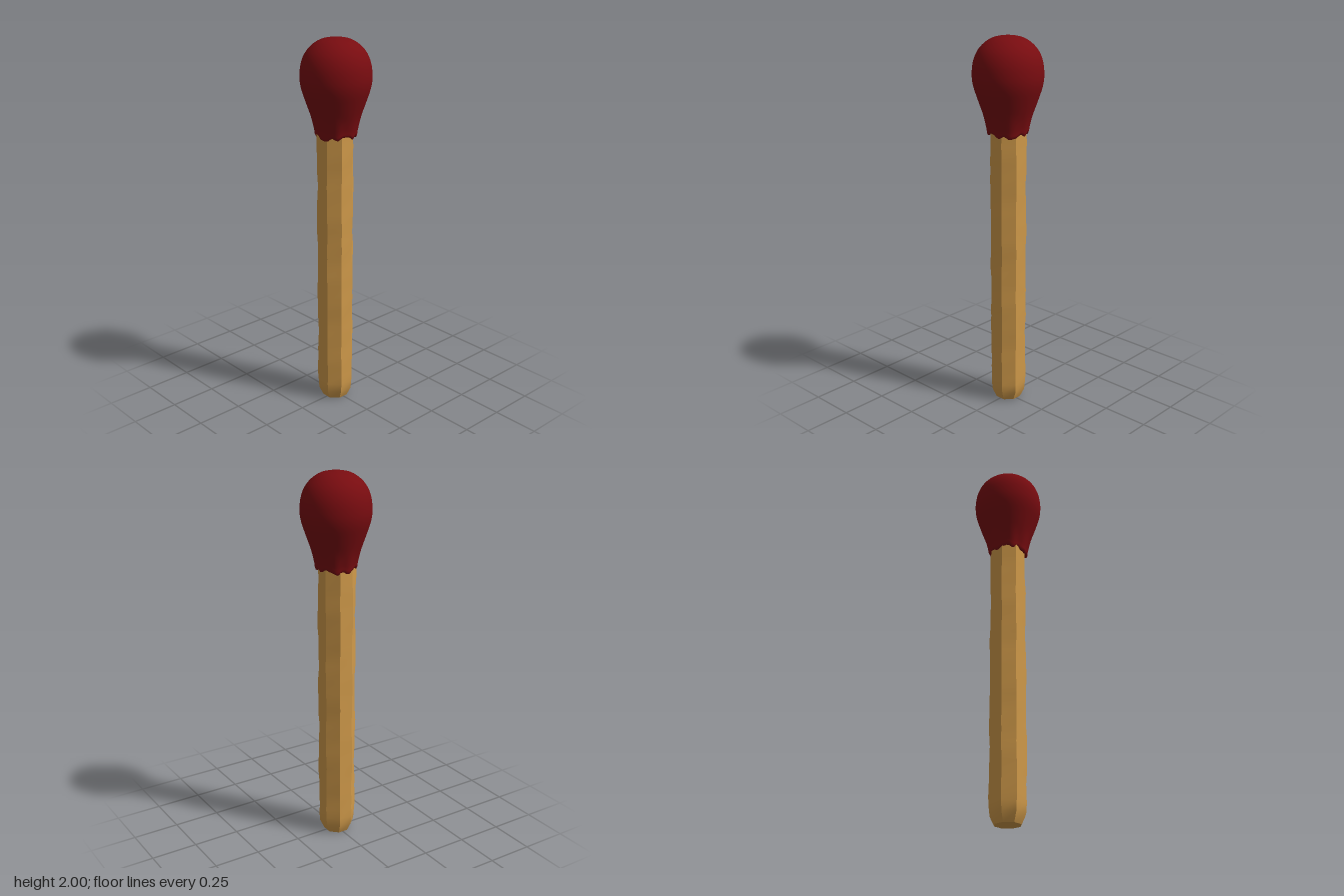
import * as THREE from 'three';
import { toCreasedNormals } from 'three/addons/utils/BufferGeometryUtils.js';

// Move every vertex of a geometry by a rule.
function deform(geometry, rule) {
  const p = geometry.attributes.position;
  const v = new THREE.Vector3();
  for (let i = 0; i < p.count; i++) {
    v.fromBufferAttribute(p, i);
    rule(v);
    p.setXYZ(i, v.x, v.y, v.z);
  }
  return geometry;
}

export function createModel() {
  const wood = new THREE.MeshStandardMaterial({ color: 0xd09a4a });
  wood.name = 'wood';
  const red = new THREE.MeshStandardMaterial({ color: 0x780c10 });
  red.name = 'red';
  const group = new THREE.Group();
  group.name = 'matchstick';

  // Stick: whittled octagonal bar with a tapered foot
  const height = 1.6, rows = 32;
  const stickGeometry = new THREE.CylinderGeometry(1, 1, height, 8, rows);
  stickGeometry.rotateY(Math.PI / 8).translate(0, height / 2, 0);
  deform(stickGeometry, (v) => {
    const row = Math.round(v.y / height * rows);
    const radius = row === 0 ? 0.07 : row === 1 ? 0.094 : 0.0985;
    const a = Math.round((Math.atan2(v.z, v.x) - Math.PI / 8) / (Math.PI / 4));
    const corner = (a + 8) % 8;
    const wobble = row > 1 ? 0.0025 * Math.sin(row * 0.75 + corner * 2.4)
      + 0.0015 * Math.sin(row * 1.9 + corner * 4.1) : 0;
    v.x = v.x * (radius + wobble) - 0.004;
    v.z = v.z * (radius + wobble) + 0.002;
  });
  const stick = new THREE.Mesh(toCreasedNormals(stickGeometry, 0.6), wood);
  stick.name = 'stick';
  group.add(stick);

  // Head: dipped bulb with an uneven lower rim
  const curve = new THREE.SplineCurve([
    [0.106, 1.515], [0.11, 1.54], [0.126, 1.6], [0.154, 1.68], [0.176, 1.75],
    [0.182, 1.81], [0.172, 1.88], [0.14, 1.94], [0.08, 1.985], [0, 2],
  ].map(([x, y]) => new THREE.Vector2(x, y)));
  const profile = [[0.07, 1.525], [0.094, 1.502], [0.101, 1.503]]
    .map(([x, y]) => new THREE.Vector2(x, y))
    .concat(curve.getPoints(30));
  profile[profile.length - 1].x = 0;
  const headGeometry = deform(new THREE.LatheGeometry(profile, 48), (v) => {
    const a = Math.atan2(v.z, v.x);
    const fade = THREE.MathUtils.clamp((1.62 - v.y) / 0.11, 0, 1);
    v.y += fade * (0.007 * Math.sin(3 * a + 0.8) + 0.006 * Math.sin(8 * a) + 0.004 * Math.sin(13 * a + 2));
    const swell = 1 + fade * 0.025 * Math.sin(8 * a + 2.5);
    v.x *= swell;
    v.z *= swell;
  });
  const head = new THREE.Mesh(toCreasedNormals(headGeometry, 1.2), red);
  head.name = 'head';
  group.add(head);

  return group;
}
